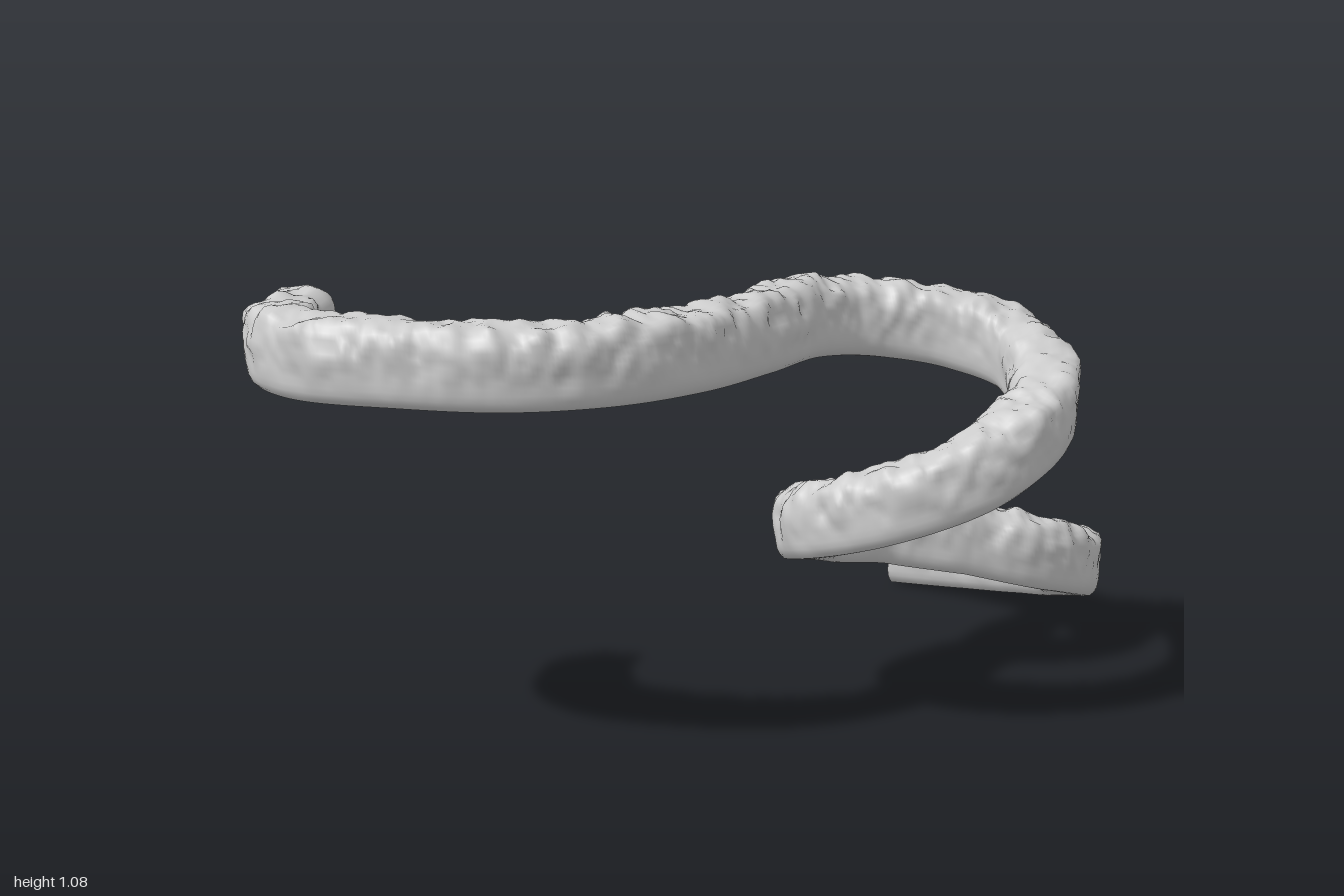
import * as THREE from 'three';

// Seeded lattice value and smooth 3D value noise
function hash(x, y, z) {
  let h = Math.imul(x, 374761393) ^ Math.imul(y, 668265263) ^ Math.imul(z, 1274126177);
  h = Math.imul(h ^ (h >>> 13), 1103515245);
  return ((h ^ (h >>> 16)) >>> 0) / 4294967295;
}
function noise(p, f) {
  const c = [p.x * f, p.y * f, p.z * f];
  const i = c.map(Math.floor);
  const w = c.map((v, k) => { const t = v - i[k]; return t * t * (3 - 2 * t); });
  let sum = 0;
  for (let k = 0; k < 8; k++) {
    const d = [k & 1, (k >> 1) & 1, k >> 2];
    const weight = d.reduce((m, on, a) => m * (on ? w[a] : 1 - w[a]), 1);
    sum += weight * hash(i[0] + d[0], i[1] + d[1], i[2] + d[2]);
  }
  return sum * 2 - 1;
}

// Centre line, from the low back end up round the loop to the high front end
const PATH = [
  [0.32, 0.10, -0.92], [0.54, 0.125, -0.82], [0.72, 0.165, -0.67], [0.82, 0.225, -0.46],
  [0.76, 0.305, -0.26], [0.57, 0.375, -0.14], [0.38, 0.415, -0.05], [0.26, 0.46, 0.14],
  [0.32, 0.525, 0.32], [0.50, 0.595, 0.385], [0.69, 0.675, 0.32], [0.80, 0.77, 0.12],
  [0.73, 0.85, -0.09], [0.55, 0.89, -0.16], [0.36, 0.92, -0.11], [0.22, 0.945, 0.05],
  [0.14, 0.955, 0.30], [0.05, 0.965, 0.55], [-0.09, 0.975, 0.76], [-0.28, 0.98, 0.875],
  [-0.50, 0.985, 0.905], [-0.71, 0.985, 0.88], [-0.825, 0.985, 0.77], [-0.84, 0.985, 0.60],
].map((p) => new THREE.Vector3(...p));

// Right half of the cross-section: flat base, upright sides, rounded top
const HALF = [[0.03, -0.09], [0.058, -0.088], [0.074, -0.07], [0.079, -0.02],
  [0.077, 0.035], [0.066, 0.072], [0.035, 0.09]];

function rockyTrack() {
  const RINGS = 620, SIDES = 40;
  const path = new THREE.CatmullRomCurve3(PATH);
  path.arcLengthDivisions = 1200;
  const outline = [...HALF, ...HALF.map(([x, y]) => [-x, y]).reverse()]
    .map(([x, y]) => new THREE.Vector3(x, y, 0));
  const section = new THREE.CatmullRomCurve3(outline, true).getSpacedPoints(SIDES).slice(0, SIDES);

  const up = new THREE.Vector3(0, 1, 0);
  const pos = [], index = [];
  for (let i = 0; i <= RINGS; i++) {
    const centre = path.getPointAt(i / RINGS);
    const side = path.getTangentAt(i / RINGS).cross(up).normalize();
    for (const s of section) {
      const p = centre.clone().addScaledVector(side, s.x).addScaledVector(up, s.y);
      // Bumps grow from the smooth base to the rough top
      const rough = THREE.MathUtils.smoothstep(s.y, -0.09, 0.07);
      const bump = (noise(p, 21) * 0.013 + noise(p, 45) * 0.007 + 0.002) * rough;
      const out = s.clone().normalize();
      p.addScaledVector(side, out.x * bump).addScaledVector(up, out.y * bump);
      pos.push(p.x, p.y, p.z);
    }
  }
  for (let i = 0; i < RINGS; i++) {
    for (let j = 0; j < SIDES; j++) {
      const a = i * SIDES + j, c = i * SIDES + (j + 1) % SIDES;
      index.push(a, a + SIDES, c, c, a + SIDES, c + SIDES);
    }
  }
  // End faces on their own vertices, so their edges stay sharp
  for (const ring of [0, RINGS]) {
    const base = pos.length / 3;
    pos.push(...path.getPointAt(ring / RINGS).toArray());
    pos.push(...pos.slice(ring * SIDES * 3, (ring + 1) * SIDES * 3));
    for (let j = 0; j < SIDES; j++) {
      const a = base + 1 + j, b = base + 1 + (j + 1) % SIDES;
      index.push(base, ...(ring ? [b, a] : [a, b]));
    }
  }
  const geometry = new THREE.BufferGeometry();
  geometry.setAttribute('position', new THREE.Float32BufferAttribute(pos, 3));
  geometry.setIndex(index);
  geometry.computeVertexNormals();
  return geometry;
}

export function createModel() {
  const group = new THREE.Group();
  group.name = 'spiralRockTrack';
  const track = new THREE.Mesh(rockyTrack(), new THREE.MeshStandardMaterial({ color: 0xcccccc }));
  track.name = 'rockyTrack';
  group.add(track);
  return group;
}
